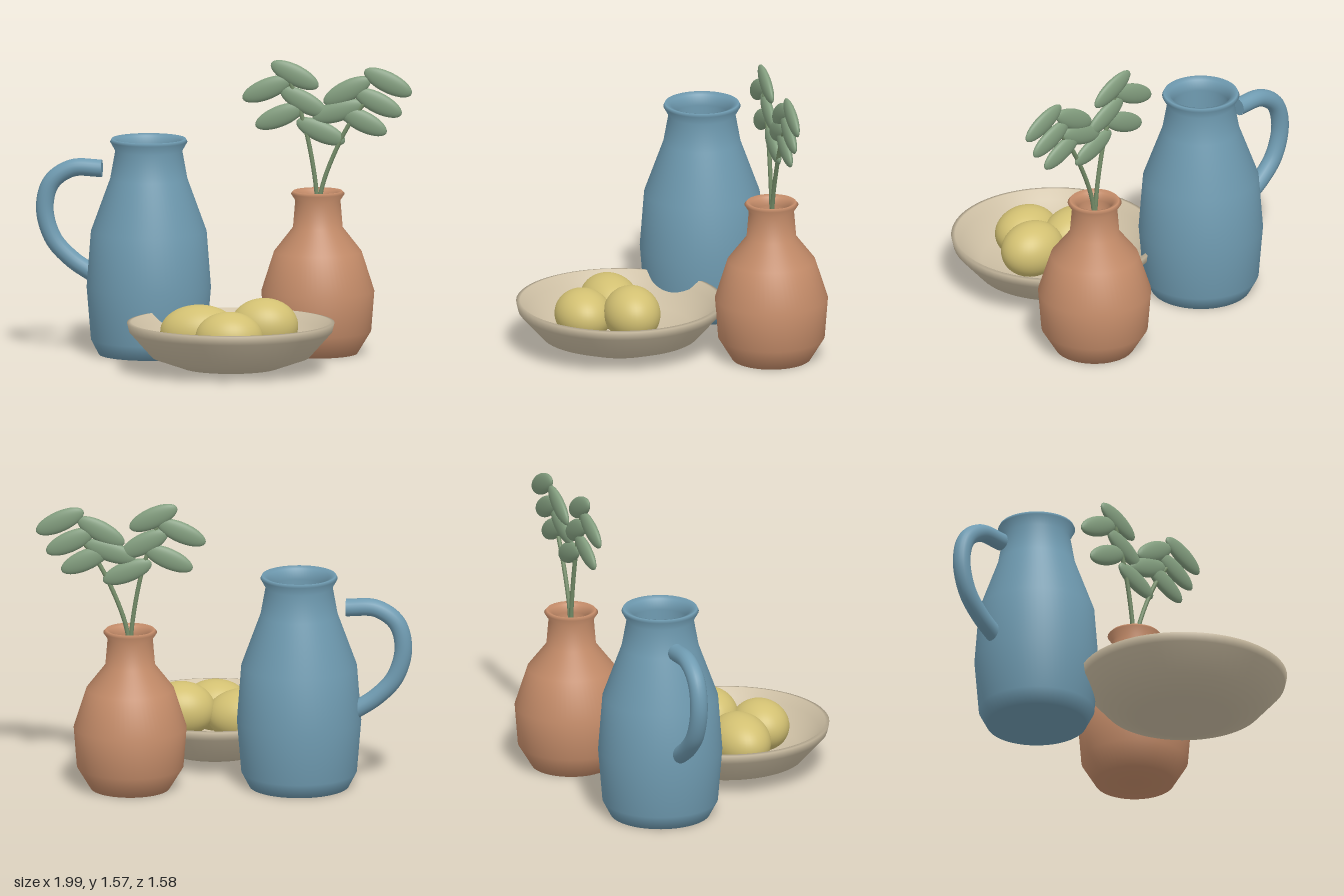
import * as THREE from 'three';

const mat = (name, color) => {
  const m = new THREE.MeshStandardMaterial({ color });
  m.name = name;
  return m;
};

export function createModel() {
  const group = new THREE.Group();
  const blue = mat('blue glaze', 0x6f9bb1);
  const terracotta = mat('terracotta', 0xc68d6a);
  const cream = mat('cream stoneware', 0xcdbfa4);
  const yellow = mat('yellow fruit', 0xd2c072);
  const green = mat('leaf green', 0x829d7e);
  const stemGreen = mat('stem green', 0x748c68);

  const add = (name, geometry, material, x, y, z) => {
    const mesh = new THREE.Mesh(geometry, material);
    mesh.name = name;
    mesh.position.set(x, y, z);
    group.add(mesh);
    return mesh;
  };
  const lathe = (points) =>
    new THREE.LatheGeometry(points.map(([r, y]) => new THREE.Vector2(r, y)), 64);
  const curve = (points, z) =>
    new THREE.CatmullRomCurve3(points.map(([x, y]) => new THREE.Vector3(x, y, z)));

  // Jug: outer wall, flared lip, then the inside
  add('jug', lathe([
    [0, 0], [0.265, 0], [0.307, 0.08], [0.33, 0.36], [0.307, 0.66], [0.205, 0.94],
    [0.178, 1.09], [0.205, 1.138], [0.197, 1.155], [0.165, 1.145], [0.15, 1.09],
    [0.165, 0.93], [0.15, 0.75], [0, 0.7],
  ]), blue, -0.398, 0, -0.363);

  // Jug handle with closed ends
  const handlePath = curve([
    [-0.65, 0.988], [-0.81, 0.987], [-0.92, 0.91], [-0.955, 0.77],
    [-0.91, 0.61], [-0.81, 0.5], [-0.69, 0.42],
  ], -0.38);
  add('jugHandle', new THREE.TubeGeometry(handlePath, 48, 0.047, 20), blue, 0, 0, 0);
  for (const t of [0, 1]) {
    const end = handlePath.getPointAt(t);
    const outward = handlePath.getTangentAt(t).multiplyScalar(t ? 1 : -1);
    const cap = add('jugHandleEnd', new THREE.CircleGeometry(0.047, 20), blue, end.x, end.y, end.z);
    cap.quaternion.setFromUnitVectors(new THREE.Vector3(0, 0, 1), outward);
  }

  // Bud vase
  add('vase', lathe([
    [0, 0], [0.21, 0], [0.283, 0.12], [0.3, 0.335], [0.233, 0.545], [0.132, 0.675],
    [0.12, 0.82], [0.143, 0.855], [0.13, 0.87], [0.105, 0.86], [0.09, 0.82],
    [0.1, 0.67], [0, 0.6],
  ]), terracotta, 0.49, 0, -0.493);

  // Shallow bowl
  add('bowl', lathe([
    [0, 0.022], [0.256, 0.022], [0.42, 0.08], [0.54, 0.215], [0.551, 0.262],
    [0.53, 0.265], [0.5, 0.215], [0.39, 0.115], [0.23, 0.07], [0, 0.065],
  ]), cream, 0.105, 0, 0.233);

  // Fruit: centre, then half sizes
  const fruits = [
    [-0.06, 0.21, 0.245, 0.21, 0.145, 0.155],
    [0.283, 0.245, 0.217, 0.18, 0.147, 0.149],
    [0.12, 0.21, 0.44, 0.18, 0.137, 0.15],
  ];
  for (const [x, y, z, rx, ry, rz] of fruits) {
    add('fruit', new THREE.SphereGeometry(1, 40, 28), yellow, x, y, z).scale.set(rx, ry, rz);
  }

  // Stems
  const stems = [
    [[0.49, 0.62], [0.482, 0.87], [0.435, 1.155], [0.385, 1.33], [0.34, 1.46]],
    [[0.49, 0.62], [0.508, 0.87], [0.605, 1.13], [0.69, 1.28], [0.78, 1.39]],
  ];
  for (const points of stems) {
    add('stem', new THREE.TubeGeometry(curve(points, -0.495), 32, 0.012, 10), stemGreen, 0, 0, 0);
  }

  // Leaves: position and tilt in degrees
  const leaves = [
    [0.217, 1.41, 23], [0.366, 1.487, -26], [0.286, 1.265, 23], [0.414, 1.345, -28],
    [0.505, 1.187, -23], [0.645, 1.405, 28], [0.864, 1.455, -26], [0.81, 1.345, -26],
    [0.73, 1.245, -26], [0.596, 1.297, 18],
  ];
  for (const [x, y, tilt] of leaves) {
    const leaf = add('leaf', new THREE.SphereGeometry(1, 28, 18), green, x, y, -0.498);
    leaf.scale.set(0.14, 0.056, 0.027);
    leaf.rotation.z = THREE.MathUtils.degToRad(tilt);
  }

  return group;
}
